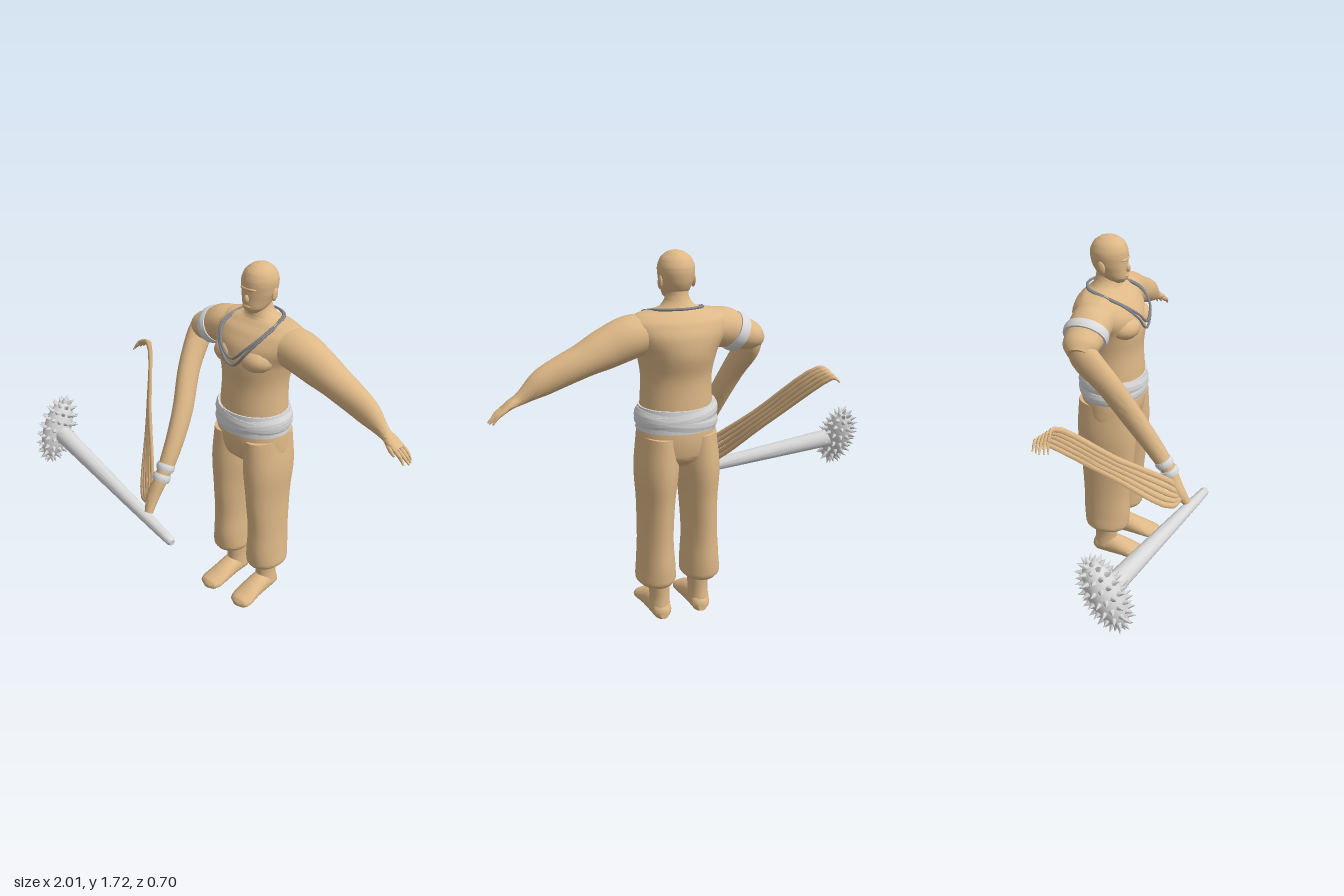
import * as THREE from 'three';
import { mergeGeometries, toCreasedNormals } from 'three/addons/utils/BufferGeometryUtils.js';

const V = (x, y, z) => new THREE.Vector3(x, y, z);
const X = V(1, 0, 0), Y = V(0, 1, 0), Z = V(0, 0, 1);
const CX = 0.165; // body centre line

// Smooth skin over elliptical sections [x, y, z, ru, rv]; ref gives the direction of ru.
// With a fixed axis all rings stay parallel, otherwise they follow the path.
function loft(rows, ref, { axis = null, steps = 5, sides = 28, floor = false } = {}) {
  const path = new THREE.CatmullRomCurve3(rows.map(r => V(r[0], r[1], r[2])), false, 'centripetal');
  const size = new THREE.CatmullRomCurve3(rows.map(r => V(r[3], r[4], 0)), false, 'catmullrom', 0.4);
  const n = (rows.length - 1) * steps, pos = [], idx = [];
  for (let i = 0; i <= n; i++) {
    const c = path.getPoint(i / n), s = size.getPoint(i / n);
    const t = axis || path.getTangent(i / n);
    const u = ref.clone().addScaledVector(t, -ref.dot(t)).normalize();
    const v = t.clone().cross(u);
    for (let j = 0; j < sides; j++) {
      const a = j / sides * Math.PI * 2;
      const p = c.clone().addScaledVector(u, s.x * Math.cos(a)).addScaledVector(v, s.y * Math.sin(a));
      pos.push(p.x, floor ? Math.max(0, p.y) : p.y, p.z);
      if (i < n) {
        const k = i * sides, j2 = (j + 1) % sides;
        idx.push(k + j, k + j2, k + sides + j, k + j2, k + sides + j2, k + sides + j);
      }
    }
  }
  const first = path.getPoint(0), last = path.getPoint(1), m = pos.length / 3;
  pos.push(...first.toArray(), ...last.toArray());
  for (let j = 0; j < sides; j++) {
    const j2 = (j + 1) % sides;
    idx.push(m, j2, j, m + 1, n * sides + j, n * sides + j2);
  }
  const g = new THREE.BufferGeometry();
  g.setAttribute('position', new THREE.Float32BufferAttribute(pos, 3));
  g.setIndex(idx);
  return toCreasedNormals(g, 0.9);
}

export function createModel() {
  const model = new THREE.Group();
  const tan = new THREE.MeshStandardMaterial({ color: 0xdeb887 });
  const pale = new THREE.MeshStandardMaterial({ color: 0xd9d9d9 });
  const chain = new THREE.MeshStandardMaterial({ color: 0x85878c });
  tan.name = 'tan'; pale.name = 'paleGrey'; chain.name = 'chainGrey';
  const add = (name, geo, mat, parent = model) => {
    const m = new THREE.Mesh(geo, mat);
    m.name = name;
    parent.add(m);
    return m;
  };
  const upright = { axis: Y };
  const ball = (name, x, y, z, rx, ry, rz) => {
    const m = add(name, new THREE.SphereGeometry(1, 16, 12), tan);
    m.position.set(x, y, z);
    m.scale.set(rx, ry, rz);
    return m;
  };

  // Torso and neck
  add('torso', loft([
    [CX, 0.93, -0.165, 0.172, 0.15], [CX, 1.05, -0.165, 0.165, 0.15], [CX, 1.18, -0.17, 0.16, 0.148],
    [CX, 1.29, -0.18, 0.18, 0.168], [CX, 1.37, -0.187, 0.225, 0.16], [CX, 1.43, -0.195, 0.235, 0.128],
    [CX, 1.465, -0.2, 0.19, 0.09], [CX, 1.485, -0.195, 0.085, 0.068], [CX, 1.53, -0.19, 0.05, 0.054],
    [CX, 1.59, -0.19, 0.05, 0.05]], X, upright), tan);
  for (const s of [-1, 1]) ball('chestMuscle', CX + s * 0.075, 1.32, -0.09, 0.085, 0.06, 0.082);

  // Bald head with face features
  add('head', loft([
    [CX, 1.508, -0.14, 0.024, 0.03], [CX, 1.53, -0.152, 0.05, 0.06], [CX, 1.56, -0.168, 0.063, 0.077],
    [CX, 1.6, -0.177, 0.075, 0.086], [CX, 1.65, -0.18, 0.08, 0.089], [CX, 1.69, -0.179, 0.066, 0.073],
    [CX, 1.715, -0.179, 0.036, 0.042], [CX, 1.724, -0.179, 0.004, 0.004]], X, upright), tan);
  ball('nose', CX, 1.578, -0.092, 0.013, 0.02, 0.014);
  ball('mouth', CX, 1.543, -0.096, 0.022, 0.008, 0.009);
  ball('brow', CX, 1.622, -0.103, 0.045, 0.01, 0.016);
  for (const s of [-1, 1]) ball('ear', CX + s * 0.076, 1.592, -0.19, 0.009, 0.03, 0.018).rotation.x = -0.2;

  // Trousers, ankles and feet
  add('hips', loft([
    [CX, 0.775, -0.17, 0.1, 0.09], [CX, 0.82, -0.168, 0.18, 0.135],
    [CX, 0.9, -0.166, 0.185, 0.152], [CX, 0.97, -0.166, 0.178, 0.152]], X, upright), tan);
  for (const s of [-1, 1]) {
    const x = d => CX + s * d;
    add('trouserLeg', loft([
      [x(0.11), 0.185, -0.17, 0.078, 0.1], [x(0.111), 0.205, -0.17, 0.093, 0.113],
      [x(0.11), 0.28, -0.17, 0.088, 0.12], [x(0.11), 0.4, -0.17, 0.08, 0.12],
      [x(0.105), 0.58, -0.166, 0.082, 0.135], [x(0.1), 0.75, -0.168, 0.095, 0.15],
      [x(0.09), 0.92, -0.166, 0.088, 0.145]], X, upright), tan);
    add('ankle', loft([
      [x(0.1), 0.05, -0.185, 0.05, 0.06], [x(0.098), 0.12, -0.182, 0.046, 0.058],
      [x(0.1), 0.22, -0.18, 0.055, 0.066]], X, upright), tan);
    add('foot', loft([
      [x(0.097), 0.035, -0.25, 0.022, 0.025], [x(0.098), 0.045, -0.225, 0.044, 0.046],
      [x(0.1), 0.052, -0.15, 0.05, 0.056], [x(0.1), 0.04, -0.07, 0.055, 0.044],
      [x(0.103), 0.026, -0.005, 0.06, 0.03], [x(0.104), 0.02, 0.03, 0.05, 0.024],
      [x(0.102), 0.016, 0.045, 0.022, 0.012]], X, { axis: Z, floor: true }), tan);
  }

  // Cloth belt: a base wrap with two slanted folds
  add('belt', loft([[CX, 0.945, -0.166, 0.186, 0.16], [CX, 1.0, -0.166, 0.182, 0.162],
    [CX, 1.05, -0.166, 0.173, 0.158]], X, upright), pale);
  for (const [tilt, y] of [[-0.13, 1.005], [0.13, 0.985]]) {
    const fold = add('beltFold', loft([[0, -0.032, 0, 0.184, 0.161], [0, 0, 0, 0.193, 0.168],
      [0, 0.032, 0, 0.184, 0.161]], X, upright), pale);
    fold.position.set(CX, y, -0.166);
    fold.rotation.z = tilt;
  }

  // Left arm, held out to the side, with its hand
  add('leftArm', loft([
    [0.27, 1.385, -0.19, 0.1, 0.075], [0.38, 1.37, -0.195, 0.1, 0.093], [0.49, 1.33, -0.195, 0.086, 0.088],
    [0.6, 1.285, -0.195, 0.073, 0.072], [0.76, 1.215, -0.19, 0.05, 0.06], [0.86, 1.152, -0.185, 0.028, 0.028],
    [0.9, 1.132, -0.183, 0.037, 0.019], [0.94, 1.108, -0.183, 0.035, 0.012]], Z), tan);
  for (let i = 0; i < 4; i++) {
    const z = -0.212 + i * 0.019, reach = [0.985, 0.996, 1, 0.985][i];
    add('leftFinger', loft([[0.92, 1.118, z, 0.009, 0.009], [0.96, 1.092, z, 0.009, 0.008],
      [reach, 1.06, z, 0.004, 0.004]], Z, { sides: 8 }), tan);
  }
  add('leftThumb', loft([[0.88, 1.135, -0.17, 0.012, 0.011], [0.92, 1.11, -0.146, 0.01, 0.01],
    [0.945, 1.09, -0.14, 0.004, 0.004]], Z, { sides: 8 }), tan);

  // Right arm, bent down and forward to the weapon
  add('rightUpperArm', loft([
    [0.06, 1.39, -0.19, 0.1, 0.075], [-0.05, 1.375, -0.19, 0.098, 0.09], [-0.13, 1.345, -0.19, 0.09, 0.073],
    [-0.185, 1.325, -0.19, 0.08, 0.065], [-0.225, 1.305, -0.185, 0.05, 0.04]], Z), tan);
  add('rightForearm', loft([
    [-0.188, 1.35, -0.2, 0.045, 0.055], [-0.192, 1.28, -0.165, 0.05, 0.07], [-0.165, 1.15, -0.07, 0.048, 0.06],
    [-0.115, 0.97, 0.03, 0.045, 0.055], [-0.088, 0.8, 0.135, 0.04, 0.045], [-0.085, 0.68, 0.21, 0.033, 0.034],
    [-0.095, 0.6, 0.255, 0.034, 0.028], [-0.085, 0.53, 0.295, 0.022, 0.018]], X), tan);

  // Long thin strips rising from the right hand, ending in hooked fingertips
  for (let k = -2; k <= 2; k++) {
    const o = k / 2;
    add('rightFingerStrip', loft([
      [-0.1, 0.575, 0.275, 0.012, 0.01], [-0.14 + 0.034 * o, 0.595 + 0.034 * o, 0.25, 0.014, 0.008],
      [-0.36 + 0.025 * o, 0.85 + 0.026 * o, 0.025 + 0.015 * o, 0.014, 0.008],
      [-0.58 + 0.022 * o, 1.105 + 0.02 * o, -0.19 + 0.028 * o, 0.013, 0.008],
      [-0.62, 1.095 + 0.01 * o, -0.19 + 0.032 * o, 0.009, 0.007],
      [-0.663 + 0.012 * Math.abs(o), 1.06, -0.183 + 0.036 * o, 0.003, 0.003]], V(0.7, 0.7, 0), { sides: 8 }), tan);
  }

  // Arm band and two wrist bands
  add('armBand', loft([[-0.086, 1.362, -0.192, 0.103, 0.086], [-0.106, 1.352, -0.192, 0.107, 0.09],
    [-0.126, 1.342, -0.192, 0.103, 0.086]], Z), pale);
  for (const y of [0.735, 0.69]) {
    const z = 0.205 - (y - 0.69) * 0.62;
    add('wristBand', loft([[-0.086, y + 0.015, z - 0.009, 0.041, 0.041], [-0.085, y, z, 0.045, 0.045],
      [-0.085, y - 0.015, z + 0.009, 0.041, 0.041]], X), pale);
  }

  // Two necklaces hanging in a V
  for (const [w, drop, z] of [[0.122, 1.298, 0.003], [0.112, 1.33, 0.004]]) {
    const half = [[w * 0.72, 1.485, -0.25], [w, 1.472, -0.165], [w, 1.44, -0.068],
      [w * 0.66, (1.44 + drop) / 2 + 0.005, -0.01], [w * 0.25, drop + 0.012, z]];
    const pts = [V(CX, 1.488, -0.283), ...half.map(p => V(CX + p[0], p[1], p[2])), V(CX + 0.005, drop, z),
      ...half.reverse().map(p => V(CX - p[0], p[1], p[2]))];
    add('necklace', new THREE.TubeGeometry(new THREE.CatmullRomCurve3(pts, true), 100, 0.006, 6, true), chain);
  }

  // Spiked mace: tapered handle and studded oval head
  const mace = new THREE.Group();
  mace.name = 'mace';
  model.add(mace);
  add('maceHandle', loft([[-0.9, 0.622, 0.193, 0.046, 0.046], [-0.8, 0.608, 0.207, 0.045, 0.045],
    [-0.35, 0.542, 0.269, 0.035, 0.035], [0.1, 0.477, 0.332, 0.022, 0.022],
    [0.115, 0.475, 0.334, 0.015, 0.015]], Z), pale, mace);
  const knob = new THREE.Group();
  knob.name = 'maceHead';
  knob.position.set(-0.907, 0.625, 0.195);
  knob.quaternion.setFromUnitVectors(Y, V(0, -0.9, 0.44).normalize());
  mace.add(knob);
  const R = 0.072, H = 0.162;
  add('maceCore', new THREE.SphereGeometry(1, 24, 16).scale(R, H, R), pale, knob);
  const spikes = [];
  const spike = (lat, lon) => {
    const d = V(Math.cos(lat) * Math.cos(lon), Math.sin(lat), Math.cos(lat) * Math.sin(lon));
    const nrm = V(d.x / R, d.y / H, d.z / R).normalize();
    const g = new THREE.ConeGeometry(0.015, 0.04, 6).translate(0, 0.012, 0);
    g.applyQuaternion(new THREE.Quaternion().setFromUnitVectors(Y, nrm));
    spikes.push(g.translate(d.x * R, d.y * H, d.z * R));
  };
  for (let i = -4; i <= 4; i++) {
    const lat = i * 0.31, count = Math.max(6, Math.round(14 * Math.cos(lat)));
    for (let j = 0; j < count; j++) spike(lat, (j + (i & 1) * 0.5) / count * Math.PI * 2);
  }
  spike(Math.PI / 2, 0);
  spike(-Math.PI / 2 + 0.001, 0);
  add('maceSpikes', mergeGeometries(spikes), pale, knob);

  return model;
}
